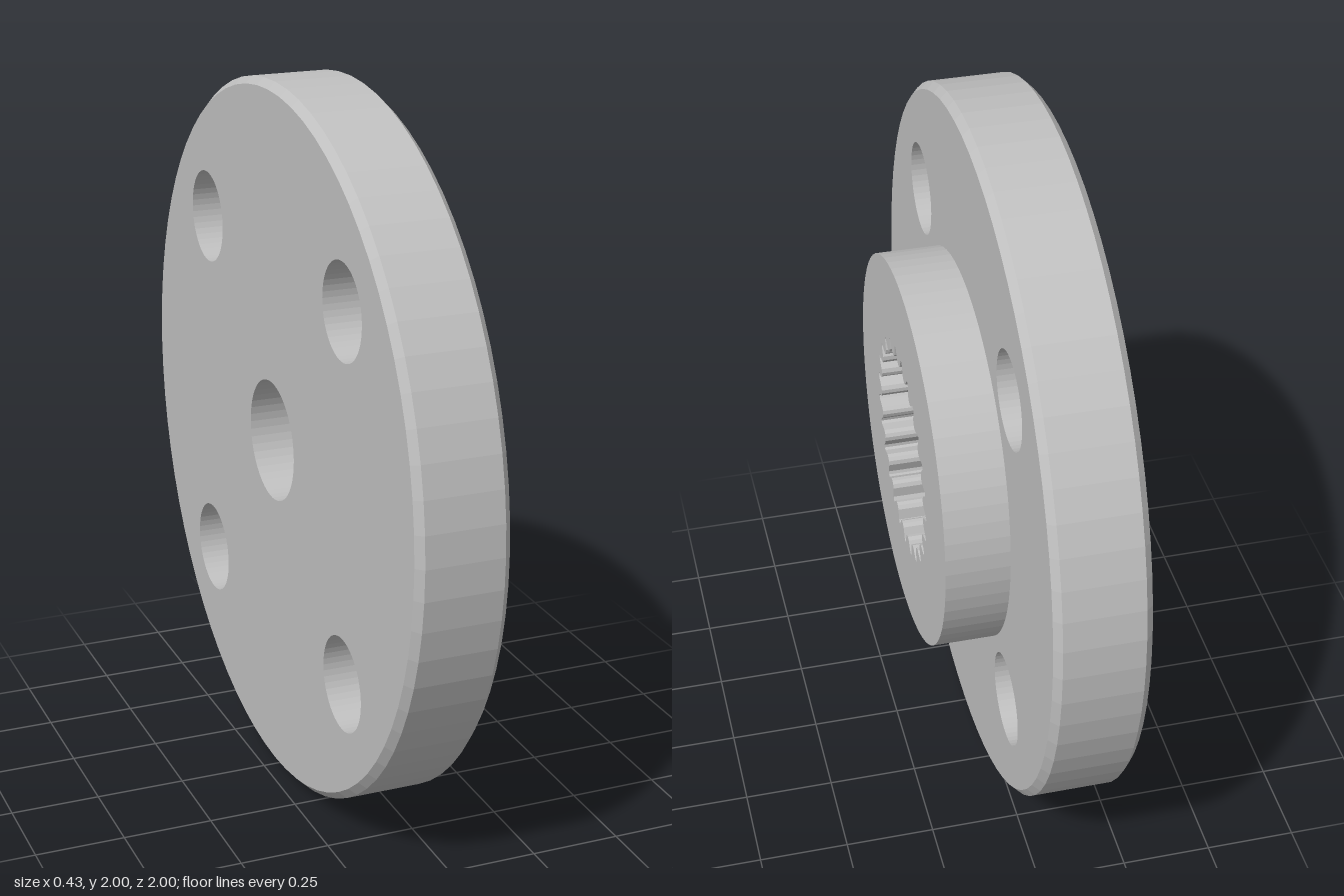
import * as THREE from 'three';

// stations along the axle (x) and radii
const BACK = -0.215, FLOOR = -0.01, FACE = 0.04, HUB = 0.215;
const R = 1, CHAMFER = 0.02, HUB_R = 0.55, BORE_R = 0.17, BOLT_R = 0.132, BOLT_POS = 0.515;
const TEETH = 25;

const circle = (r, n, cx = 0, cy = 0) => Array.from({ length: n }, (_, i) => {
  const a = (i / n) * Math.PI * 2;
  return new THREE.Vector2(cx + r * Math.cos(a), cy + r * Math.sin(a));
});

// toothed outline: grooves point outward, lands lie between them
function splineOutline() {
  const profile = [[-0.42, 0.276], [-0.27, 0.283], [-0.1, 0.313], [0, 0.318], [0.1, 0.313], [0.27, 0.283], [0.42, 0.276]];
  const pts = [];
  for (let i = 0; i < TEETH; i++) {
    for (const [t, r] of profile) {
      const a = ((i + t) / TEETH) * Math.PI * 2;
      pts.push(new THREE.Vector2(r * Math.cos(a), r * Math.sin(a)));
    }
  }
  return pts;
}

// faceted normals
function flat(geo) {
  const g = geo.index ? geo.toNonIndexed() : geo;
  g.computeVertexNormals();
  return g;
}

// flat face across the axle at x, with holes
function plate(outline, holes, x, facing = 1) {
  const shape = new THREE.Shape(outline);
  holes.forEach((h) => shape.holes.push(new THREE.Path(h)));
  return new THREE.ShapeGeometry(shape).rotateY(facing * Math.PI / 2).translate(x, 0, 0);
}

// surface of revolution about x from [radius, x] pairs
function turned(pairs, segments) {
  const pts = pairs.map(([r, x]) => new THREE.Vector2(r, x));
  return flat(new THREE.LatheGeometry(pts, segments).rotateZ(-Math.PI / 2));
}

// inward-facing wall that follows an outline
function innerWall(outline, x0, x1) {
  const pos = [];
  outline.forEach((p, i) => {
    const q = outline[(i + 1) % outline.length];
    pos.push(p.x, p.y, x0, q.x, q.y, x1, q.x, q.y, x0);
    pos.push(p.x, p.y, x0, p.x, p.y, x1, q.x, q.y, x1);
  });
  const g = new THREE.BufferGeometry();
  g.setAttribute('position', new THREE.Float32BufferAttribute(pos, 3));
  return flat(g.rotateY(Math.PI / 2));
}

export function createModel() {
  const model = new THREE.Group();
  model.name = 'splinedFlange';
  const metal = new THREE.MeshStandardMaterial({ color: 0xc0c0c0 });
  metal.name = 'grey metal';

  const body = new THREE.Group();
  body.name = 'body';
  body.position.y = R;
  model.add(body);
  const add = (name, geo) => {
    const mesh = new THREE.Mesh(geo, metal);
    mesh.name = name;
    body.add(mesh);
    return mesh;
  };

  const bolts = [];
  for (const sx of [-1, 1]) for (const sy of [-1, 1]) bolts.push([sx * BOLT_POS, sy * BOLT_POS]);
  const boltHoles = bolts.map(([a, b]) => circle(BOLT_R, 48, a, b));
  const bore = circle(BORE_R, 48);
  const spline = splineOutline();
  const edge = circle(R - CHAMFER, 72);

  // disc
  add('discRim', turned([[R - CHAMFER, BACK], [R, BACK + CHAMFER], [R, FACE - CHAMFER], [R - CHAMFER, FACE]], 72));
  add('discBack', plate(edge, [...boltHoles, bore], BACK, -1));
  add('discFront', plate(edge, [...boltHoles, circle(HUB_R, 72)], FACE));

  // bolt holes
  for (const [z, y] of bolts) {
    add('boltHole', turned([[BOLT_R, FACE], [BOLT_R, BACK]], 48)).position.set(0, y, z);
  }

  // raised hub
  add('hubSide', turned([[HUB_R, FACE], [HUB_R, HUB]], 72));
  add('hubFace', plate(circle(HUB_R, 72), [spline], HUB));

  // toothed socket and the bore behind it
  add('splineTeeth', innerWall(spline, FLOOR, HUB));
  add('socketFloor', plate(spline, [bore], FLOOR));
  add('centreBore', turned([[BORE_R, FLOOR], [BORE_R, BACK]], 48));

  return model;
}
